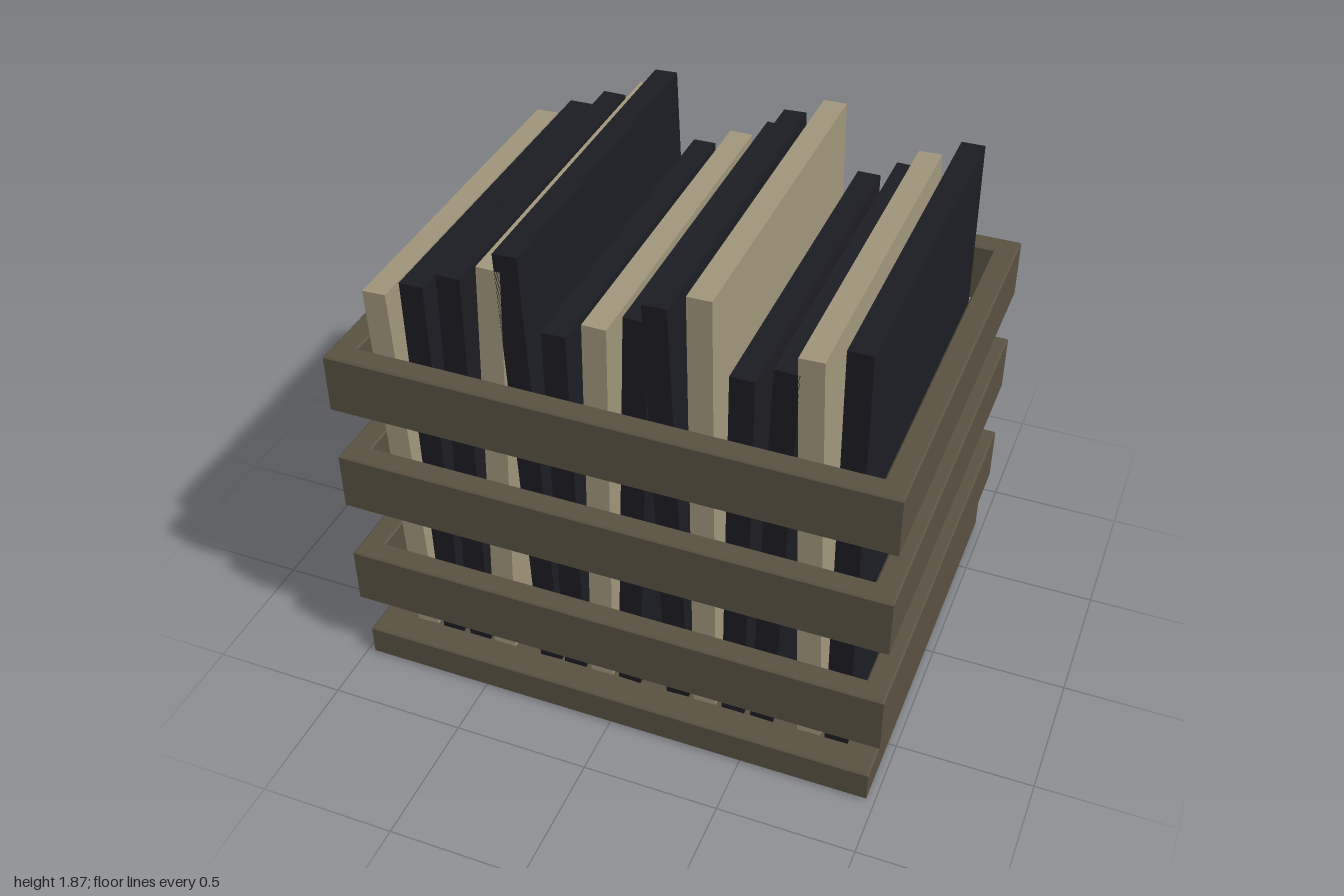
import * as THREE from 'three';

const material = (color) => new THREE.MeshStandardMaterial({ color });
const wood = material(0x5a5241);
const cream = material(0xa0967b);
const dark = material(0x1c1d23);
const red = material(0x9c2f33);
const grey = material(0x59606b);

const BEVEL = 0.006;
const HALF_Z = 0.773;

function rectangle(Type, hx, hz) {
  const s = new Type();
  s.moveTo(-hx, -hz);
  s.lineTo(hx, -hz);
  s.lineTo(hx, hz);
  s.lineTo(-hx, hz);
  s.closePath();
  return s;
}

// Horizontal slab with lightly chamfered edges, optionally open in the middle
function slab(name, hx, hz, y0, y1, wall = 0) {
  const shape = rectangle(THREE.Shape, hx - BEVEL, hz - BEVEL);
  if (wall) shape.holes.push(rectangle(THREE.Path, hx - wall + BEVEL, hz - wall + BEVEL));
  const geometry = new THREE.ExtrudeGeometry(shape, {
    depth: y1 - y0 - 2 * BEVEL,
    bevelEnabled: true, bevelSize: BEVEL, bevelThickness: BEVEL, bevelSegments: 1,
  });
  geometry.rotateX(-Math.PI / 2);
  geometry.translate(0, y0 + BEVEL, 0);
  const mesh = new THREE.Mesh(geometry, wood);
  mesh.name = name;
  return mesh;
}

export function createModel() {
  const crate = new THREE.Group();
  crate.name = 'crate';

  // Floor and three slatted rings
  crate.add(slab('crateFloor', 0.97, HALF_Z, 0, 0.125));
  [0.27, 0.72, 1.15].forEach((y, i) => {
    crate.add(slab('slatRing' + (i + 1), 1, HALF_Z, y, y + 0.228, 0.085));
  });

  // Leaning sleeves: sideways shift of the top edge from each sleeve's middle
  const lean = [-0.027, -0.009, 0.006, 0.028, -0.036, -0.008, 0.01,
    0.027, -0.036, -0.014, 0.003, 0.02, -0.03, -0.007];
  const sleeves = new THREE.Group();
  sleeves.name = 'sleeves';
  const labels = new THREE.Group();
  labels.name = 'labels';
  lean.forEach((shift, i) => {
    const x = -0.8125 + 0.125 * i;
    const height = 1.475 + 0.065 * (i % 5);
    const sleeve = new THREE.Mesh(
      new THREE.BoxGeometry(0.085, height, 1.333), i % 3 === 0 ? cream : dark);
    sleeve.name = 'sleeve' + (i + 1);
    sleeve.position.set(x, 0.13 + height / 2, 0);
    sleeve.rotation.z = -Math.atan2(shift, height / 2);
    sleeves.add(sleeve);

    // Small tag behind each sleeve
    const label = new THREE.Mesh(
      new THREE.BoxGeometry(0.065, 0.09, 0.008), i % 4 === 0 ? red : grey);
    label.name = 'label' + (i + 1);
    label.position.set(x, 1.015, -0.682);
    labels.add(label);
  });
  crate.add(sleeves, labels);
  return crate;
}
